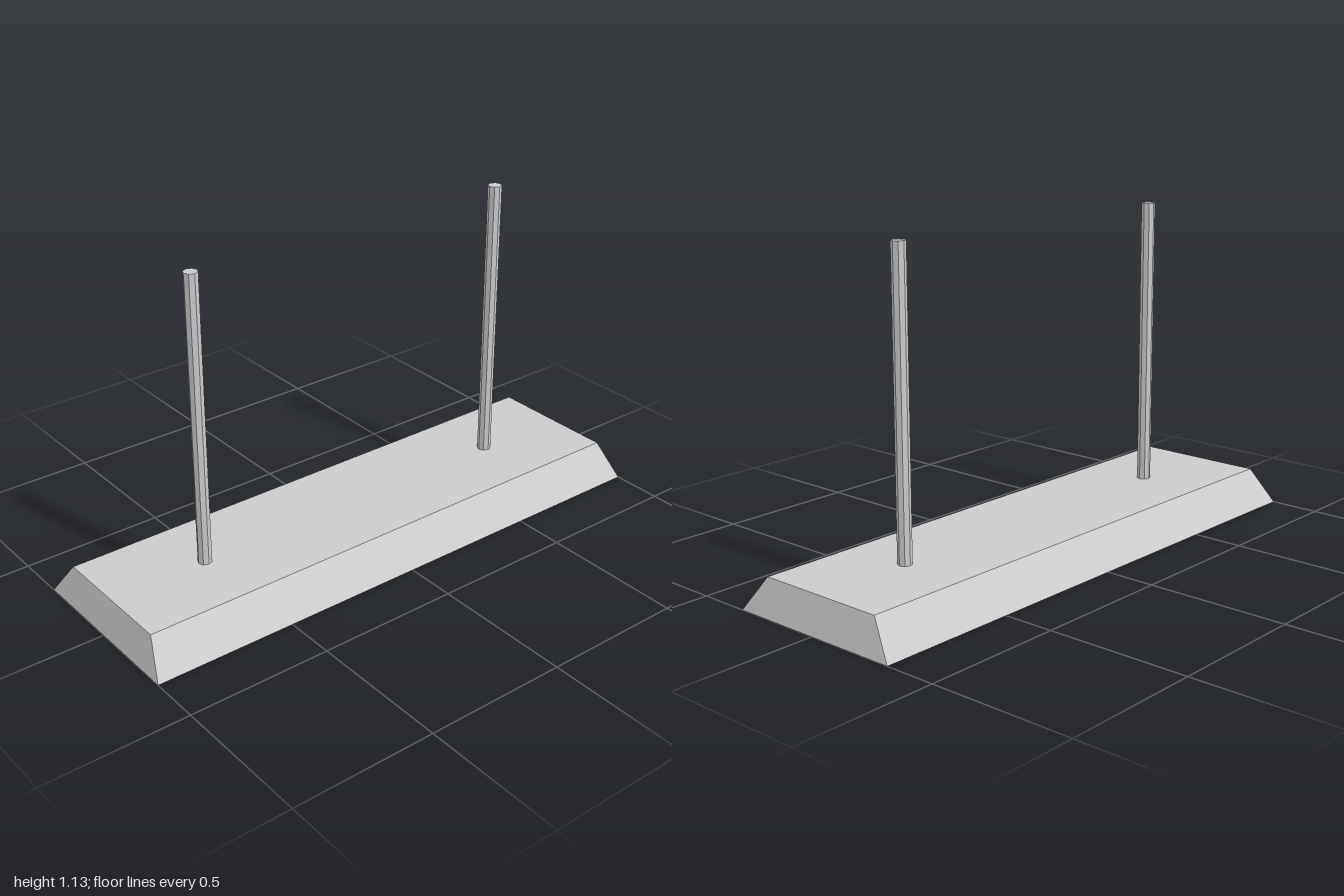
import * as THREE from 'three';

// Closed surface through rectangular rings [halfX, y, halfZ], capped at both ends
function ringSolid(rings) {
  const corners = [[1, 1], [1, -1], [-1, -1], [-1, 1]];
  const loops = rings.map(([hx, y, hz]) => corners.map(([sx, sz]) => [sx * hx, y, sz * hz]));
  const pos = [];
  const quad = (a, b, c, d) => pos.push(...a, ...b, ...c, ...a, ...c, ...d);
  for (let r = 0; r < loops.length - 1; r++) {
    for (let i = 0; i < 4; i++) {
      const j = (i + 1) % 4;
      quad(loops[r][i], loops[r][j], loops[r + 1][j], loops[r + 1][i]);
    }
  }
  quad(...[...loops[0]].reverse());
  quad(...loops[loops.length - 1]);
  const geo = new THREE.BufferGeometry();
  geo.setAttribute('position', new THREE.Float32BufferAttribute(pos, 3));
  geo.computeVertexNormals();
  return geo;
}

export function createModel() {
  const model = new THREE.Group();
  model.name = 'hangingTubeLamp';
  const grey = new THREE.MeshStandardMaterial({ color: 0xcccccc, flatShading: true });
  grey.name = 'light grey';

  const add = (name, geo, x, y, z) => {
    const mesh = new THREE.Mesh(geo, grey);
    mesh.name = name;
    mesh.position.set(x, y, z);
    model.add(mesh);
  };

  // Tapered housing with a sloped recess underneath
  add('housing', ringSolid([
    [0.9, 0.085, 0.225],   // recess ceiling
    [0.968, 0, 0.29],      // inner edge of the rim
    [1, 0, 0.322],         // outer edge of the rim
    [0.965, 0.12, 0.236],  // top
  ]), 0, 0, 0);

  // Hanging rods and lamp tubes, one pair each
  const rod = new THREE.CylinderGeometry(0.024, 0.024, 1.02, 8);
  const tube = new THREE.CylinderGeometry(0.035, 0.035, 1.88, 8).rotateZ(Math.PI / 2);
  for (const [side, s] of [['left', 1], ['right', -1]]) {
    add(side + 'HangingRod', rod, s * 0.613, 0.625, 0);
  }
  for (const [side, s] of [['front', 1], ['back', -1]]) {
    add(side + 'LampTube', tube, 0, 0.048, s * 0.127);
  }
  return model;
}
